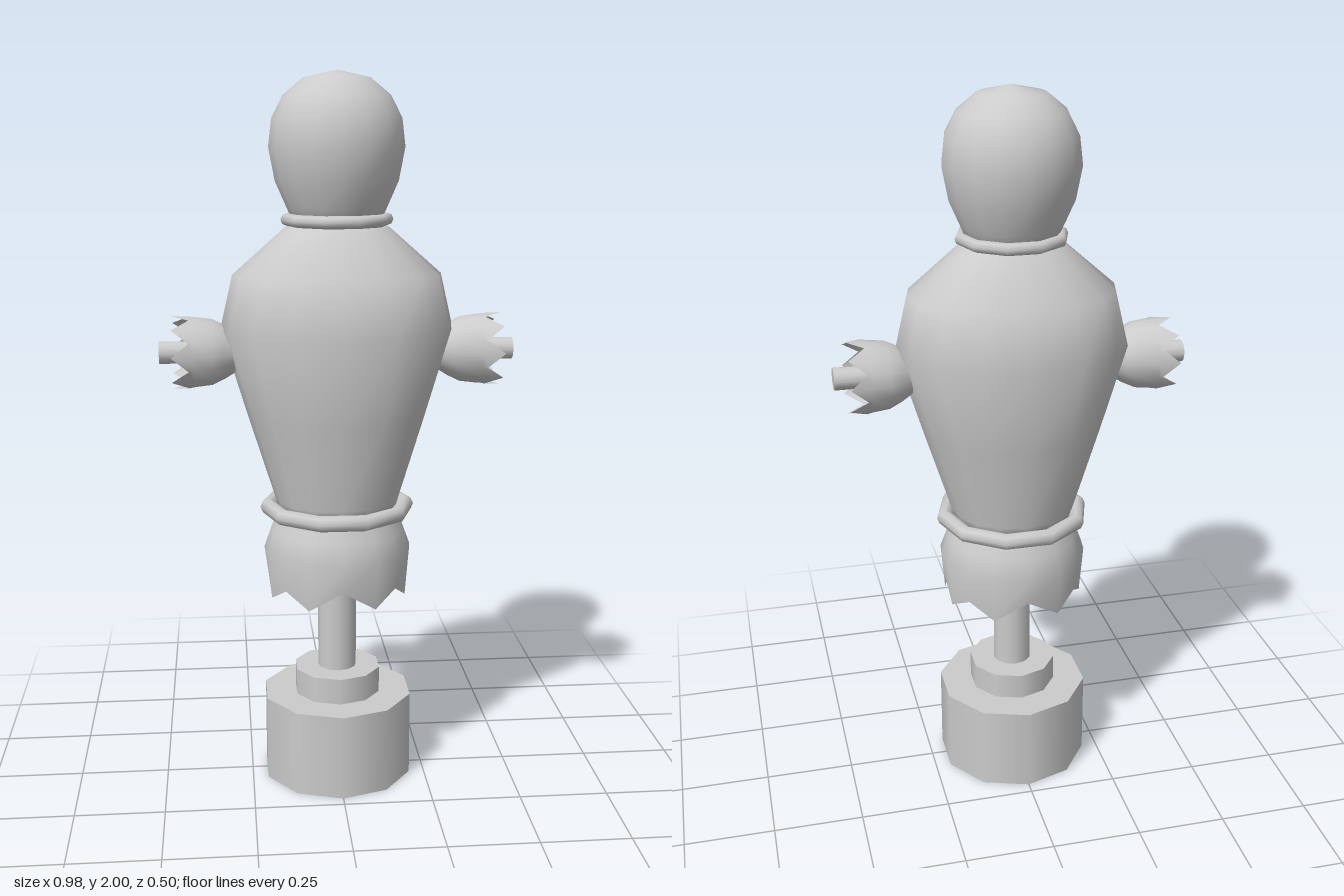
import * as THREE from 'three';

const grey = new THREE.MeshStandardMaterial({ color: 0xcccccc });
const greyDouble = new THREE.MeshStandardMaterial({ color: 0xcccccc, side: THREE.DoubleSide });
const evenAngles = Array.from({ length: 16 }, (_, i) => (i * Math.PI) / 8);

// Smooth closed skin through stacked rings; point(row, angle, index) gives [x, y, z]
function loft(rows, angles, point) {
  const n = angles.length, pos = [], idx = [];
  rows.forEach((row) => angles.forEach((a, j) => pos.push(...point(row, a, j))));
  for (let i = 0; i < rows.length - 1; i++) {
    for (let j = 0; j < n; j++) {
      const a = i * n + j, b = i * n + ((j + 1) % n);
      idx.push(a, b, b + n, a, b + n, a + n);
    }
  }
  const g = new THREE.BufferGeometry();
  g.setAttribute('position', new THREE.Float32BufferAttribute(pos, 3));
  g.setIndex(idx);
  g.computeVertexNormals();
  return g;
}

export function createModel() {
  const model = new THREE.Group();
  model.name = 'trainingDummy';

  function add(name, geometry, y = 0, material = grey, parent = model) {
    const mesh = new THREE.Mesh(geometry, material);
    mesh.name = name;
    mesh.position.y = y;
    parent.add(mesh);
    return mesh;
  }
  const post = (name, r, y0, y1, sides) =>
    add(name, new THREE.CylinderGeometry(r, r, y1 - y0, sides), (y0 + y1) / 2);
  const rope = (name, r, tube, y) =>
    add(name, new THREE.TorusGeometry(r, tube, 8, 10).rotateX(Math.PI / 2), y);

  // Stand
  post('base', 0.217, 0, 0.245, 10);
  post('baseCollar', 0.125, 0.245, 0.32, 10);
  post('pole', 0.055, 0.32, 0.9, 12);

  // Torso: rings of [y, half width, half depth], slightly boxy across the shoulders
  const torso = [[0.8, 0, 0], [0.8, 0.165, 0.165], [0.83, 0.175, 0.172], [1.07, 0.25, 0.213],
    [1.31, 0.322, 0.252], [1.46, 0.287, 0.21], [1.585, 0.145, 0.108], [1.6, 0.12, 0.09], [1.6, 0, 0]];
  add('torso', loft(torso, evenAngles, ([y, rx, rz], a) => {
    const s = Math.sin(a);
    return [rx * Math.sign(s) * Math.abs(s) ** 0.88, y, rz * Math.cos(a)];
  }));

  // Head: rings of [y, radius]
  const head = [[1.59, 0], [1.59, 0.115], [1.64, 0.137], [1.71, 0.168], [1.8, 0.185], [1.875, 0.176],
    [1.935, 0.145], [1.98, 0.09], [2.0, 0]];
  add('head', loft(head, evenAngles, ([y, r], a) => [r * Math.sin(a), y, r * Math.cos(a)]));

  // Neck and waist ropes
  rope('neckRope', 0.137, 0.017, 1.608);
  rope('waistRope', 0.195, 0.023, 0.802);

  // Ragged skirt: hem teeth are mirrored in every quarter
  const skirtAngles = [];
  for (let q = 0; q < 4; q++) {
    const quarter = q % 2 ? [0, 16, 39, 62] : [0, 28, 51, 74];
    quarter.forEach((d) => skirtAngles.push(THREE.MathUtils.degToRad(q * 90 + d)));
  }
  const hem = [0.605, 0.548, 0.59, 0.548];
  const skirt = [[null, 0.197], [0.685, 0.208], [0.74, 0.188], [0.8, 0.165]];
  add('skirt', loft(skirt, skirtAngles, ([y, r], a, j) =>
    [r * Math.sin(a), y ?? hem[j % 4], r * Math.cos(a)]), 0, greyDouble);

  // Arms: torn cuff and peg, built along y and turned outward
  const cuff = [[0.27, 0.05], [0.31, 0.075], [0.345, 0.092], [0.395, 0.098], [null, 0.101]];
  for (const side of [1, -1]) {
    const arm = new THREE.Group();
    arm.name = side > 0 ? 'leftArm' : 'rightArm';
    add('cuff', loft(cuff, evenAngles, ([y, r], a, j) =>
      [r * Math.sin(a), y ?? (j % 2 ? 0.408 : 0.455), r * Math.cos(a)]), 0, greyDouble, arm);
    add('peg', new THREE.CylinderGeometry(0.031, 0.031, 0.29, 12), 0.345, grey, arm);
    arm.rotation.z = (-side * Math.PI) / 2;
    arm.position.y = 1.248;
    model.add(arm);
  }
  return model;
}
